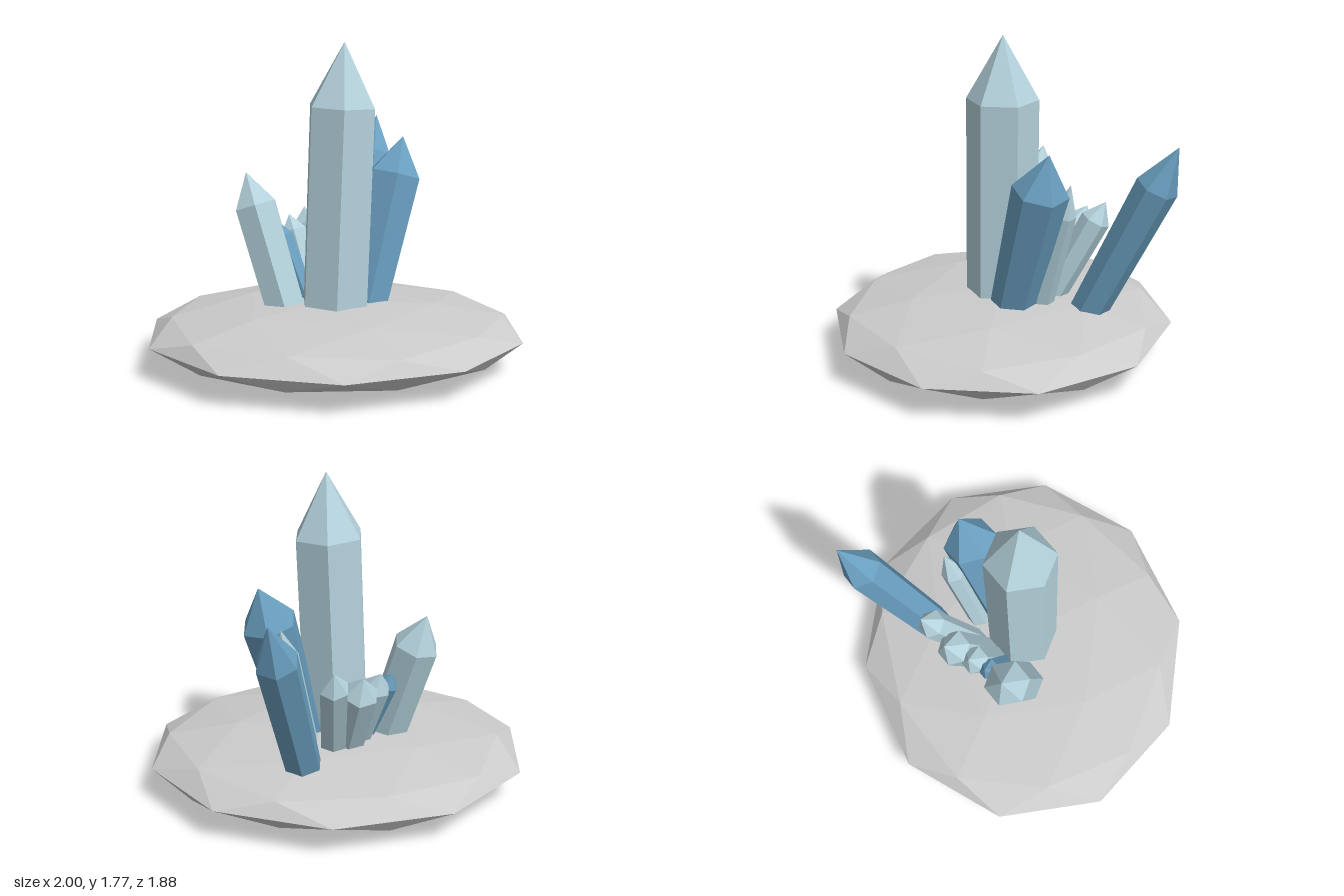
import * as THREE from 'three';

const material = (color) => new THREE.MeshStandardMaterial({ color, flatShading: true });
const UP = new THREE.Vector3(0, 1, 0);

// Six-sided crystal from a foot on the rock to its tip, with a pointed cap of height cap
function crystal(name, mat, foot, tip, rFoot, rTop, cap) {
  const a = new THREE.Vector3(...foot);
  const axis = new THREE.Vector3(...tip).sub(a);
  const length = axis.length();
  axis.normalize();
  const profile = [
    [0, -0.1], [rFoot, -0.1], [rTop, length - cap], [0, length],
  ].map(([r, y]) => new THREE.Vector2(r, y));
  const mesh = new THREE.Mesh(new THREE.LatheGeometry(profile, 6), mat);
  mesh.name = name;
  mesh.position.copy(a);
  mesh.quaternion.setFromUnitVectors(UP, axis);
  return mesh;
}

export function createModel() {
  const group = new THREE.Group();
  group.name = 'crystalCluster';
  const pale = material(0xb4d2dc);
  const blue = material(0x6a9fc0);

  // Flattened faceted rock, turned so a corner points straight up
  const rock = new THREE.IcosahedronGeometry(1, 1);
  rock.rotateZ(Math.atan(2 / (1 + Math.sqrt(5))));
  rock.rotateY(Math.PI);
  rock.scale(1.05, 0.175, 0.94);
  rock.translate(0, 0.178, 0);
  const base = new THREE.Mesh(rock, material(0xcccccc));
  base.name = 'rockBase';
  group.add(base);

  // name, material, foot, tip, foot radius, shoulder radius, cap height
  const crystals = [
    ['mainCrystal', pale, [0.003, 0.33, 0], [0.055, 1.77, -0.012], 0.195, 0.195, 0.345],
    ['leftCrystal', blue, [0.19, 0.34, -0.085], [0.4, 1.22, -0.285], 0.12, 0.153, 0.22],
    ['backCrystal', blue, [0.165, 0.32, -0.5], [0.305, 1.255, -0.94], 0.1, 0.115, 0.25],
    ['rightCrystal', pale, [-0.28, 0.34, -0.05], [-0.48, 1.04, -0.19], 0.12, 0.127, 0.19],
    ['slenderCrystal', pale, [0.155, 0.34, -0.24], [0.28, 1.03, -0.39], 0.06, 0.068, 0.18],
    ['smallCrystal1', pale, [0.01, 0.34, -0.29], [0, 0.86, -0.565], 0.075, 0.082, 0.115],
    ['smallCrystal2', pale, [-0.07, 0.34, -0.24], [-0.15, 0.79, -0.46], 0.09, 0.1, 0.115],
    ['smallCrystal3', pale, [-0.12, 0.34, -0.18], [-0.24, 0.77, -0.34], 0.072, 0.08, 0.1],
    ['smallCrystal4', blue, [-0.15, 0.33, -0.13], [-0.3, 0.74, -0.26], 0.055, 0.06, 0.08],
  ];
  for (const c of crystals) group.add(crystal(...c));
  return group;
}
